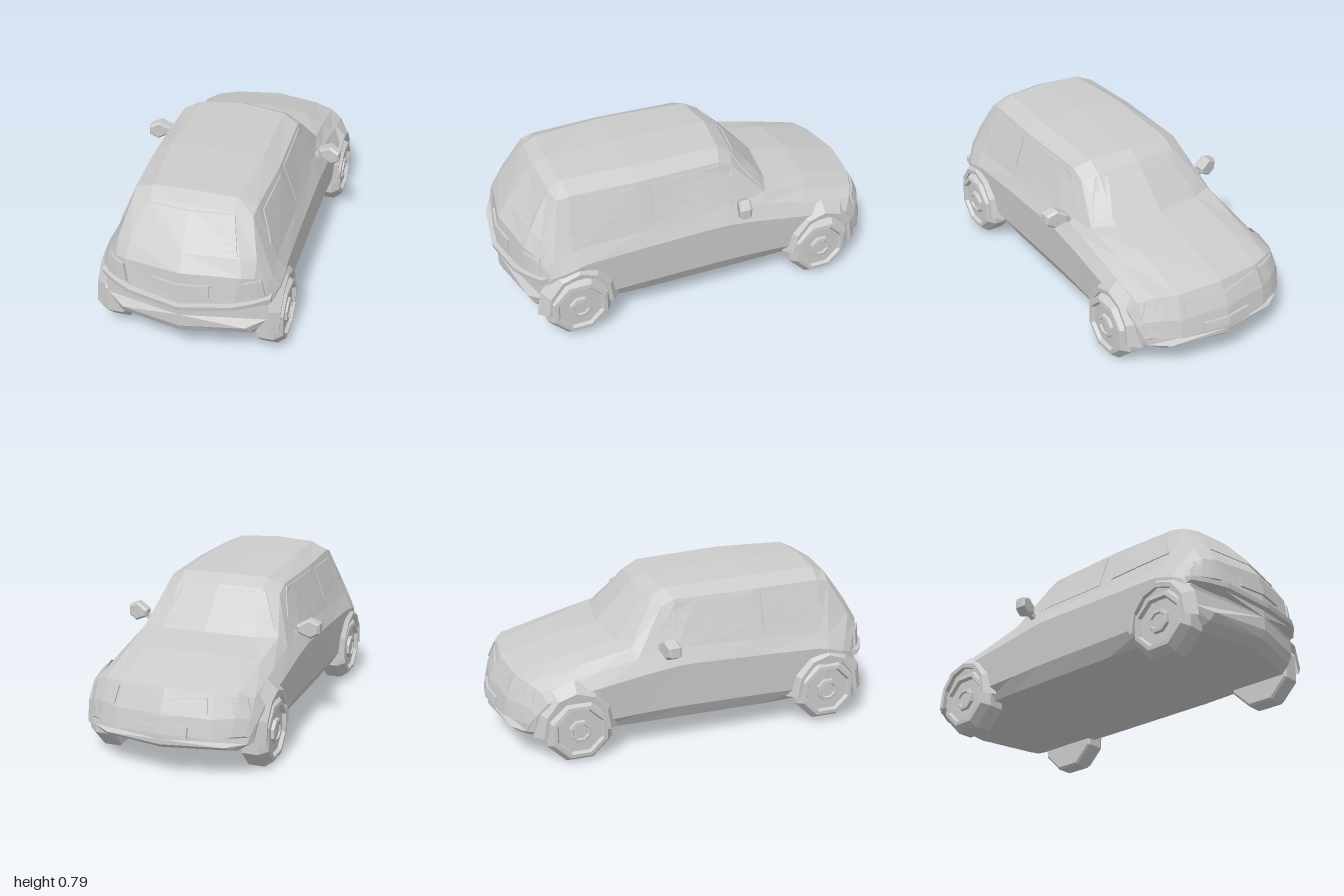
import * as THREE from 'three';

const grey = new THREE.MeshStandardMaterial({ color: 0xcccccc, flatShading: true });
const greyBoth = new THREE.MeshStandardMaterial({ color: 0xcccccc, flatShading: true, side: THREE.DoubleSide });

function named(name, geometry, material = greyBoth) {
  const mesh = new THREE.Mesh(geometry, material);
  mesh.name = name;
  return mesh;
}

function indexed(positions, index) {
  const g = new THREE.BufferGeometry();
  g.setAttribute('position', new THREE.Float32BufferAttribute(positions, 3));
  g.setIndex(index);
  g.computeVertexNormals();
  return g;
}

// How far a point is swept back towards the middle of the car at the corners
const sweepAt = x => Math.pow(Math.abs(x) / 0.42, 2.5);

// Cross-sections along z: z, corner sweep, roof y, roof x, pillar x, pillar y, belt x, belt y, widest x, floor y
const STATIONS = [
  [0.972, 0.14, 0.335, 0.24, 0.33, 0.345, 0.39, 0.35, 0.405, 0.205],
  [0.955, 0.14, 0.50, 0.28, 0.335, 0.48, 0.39, 0.42, 0.42, 0.165],
  [0.90, 0.12, 0.575, 0.265, 0.335, 0.55, 0.40, 0.45, 0.435, 0.13],
  [0.76, 0.07, 0.75, 0.20, 0.29, 0.72, 0.40, 0.48, 0.44, 0.13],
  [0.69, 0.05, 0.785, 0.205, 0.295, 0.735, 0.395, 0.49, 0.435, 0.13],
  [0.33, 0, 0.79, 0.23, 0.31, 0.735, 0.395, 0.50, 0.43, 0.13],
  [-0.15, 0.12, 0.775, 0.22, 0.30, 0.73, 0.39, 0.51, 0.43, 0.13],
  [-0.22, 0.12, 0.735, 0.22, 0.30, 0.695, 0.39, 0.51, 0.43, 0.13],
  [-0.41, 0.12, 0.54, 0.24, 0.35, 0.525, 0.39, 0.48, 0.43, 0.13],
  [-0.62, 0.10, 0.505, 0.24, 0.34, 0.475, 0.395, 0.435, 0.435, 0.13],
  [-0.91, 0.13, 0.42, 0.23, 0.33, 0.405, 0.395, 0.38, 0.43, 0.13],
  [-0.965, 0.14, 0.31, 0.24, 0.33, 0.305, 0.39, 0.295, 0.415, 0.15],
  [-0.985, 0.14, 0.22, 0.24, 0.32, 0.22, 0.375, 0.22, 0.395, 0.17],
];

function bodyGeometry() {
  const positions = [], index = [], N = 14;
  for (const [z, sweep, yA, xB, xC, yC, xD, yD, xE, yG] of STATIONS) {
    const h = yD - yG, tuck = 0.05 + 0.055 * THREE.MathUtils.smoothstep(Math.abs(z), 0.5, 0.95);
    const half = [[0, yA], [xB, yA - 0.01], [xC, yC], [xD, yD], [xE, yG + h * 0.8],
      [xE - 0.01, yG + h * 0.2], [xE - tuck, yG], [0, yG]];
    const ring = [...half, ...half.slice(1, 7).reverse().map(([x, y]) => [-x, y])];
    const toward = z > 0.3 ? -1 : 1;
    for (const [x, y] of ring) positions.push(x, y, z + toward * sweep * sweepAt(x));
  }
  const last = STATIONS.length - 1;
  for (let s = 0; s < last; s++) {
    for (let i = 0; i < N; i++) {
      const j = (i + 1) % N, a = s * N + i, b = s * N + j;
      index.push(a, b, a + N, b, b + N, a + N);
    }
  }
  // Close both ends with a fan around a centre point
  for (const s of [0, last]) {
    const centre = positions.length / 3;
    positions.push(0, (STATIONS[s][2] + STATIONS[s][9]) / 2, STATIONS[s][0]);
    for (let i = 0; i < N; i++) {
      const a = s * N + i, b = s * N + (i + 1) % N;
      index.push(centre, ...(s ? [a, b] : [b, a]));
    }
  }
  return indexed(positions, index);
}

// Raised panel laid on the body: four corners cast along an axis.
// Side panels use (z, y) corners; end panels use (x, y) corners.
function panel(name, body, view, corners, lift = 0.005, n = 4) {
  const out = { side: [1, 0, 0], rear: [0, 0, 1], nose: [0, 0, -1] }[view];
  const dir = new THREE.Vector3(...out), caster = new THREE.Raycaster();
  const [p, q, r, s] = corners, positions = [], index = [], size = n + 3;
  for (let i = 0; i < size; i++) {
    for (let j = 0; j < size; j++) {
      const u = THREE.MathUtils.clamp((i - 1) / n, 0, 1), v = THREE.MathUtils.clamp((j - 1) / n, 0, 1);
      const at = k => (p[k] * (1 - u) + q[k] * u) * (1 - v) + (s[k] * (1 - u) + r[k] * u) * v;
      const start = view === 'side' ? new THREE.Vector3(2, at(1), at(0)) : new THREE.Vector3(at(0), at(1), 2 * out[2]);
      caster.set(start, dir.clone().negate());
      const edge = i === 0 || j === 0 || i === size - 1 || j === size - 1;
      const point = caster.intersectObject(body)[0].point.clone().addScaledVector(dir, edge ? -0.002 : lift);
      positions.push(point.x, point.y, point.z);
      if (i && j) {
        const a = (i - 1) * size + j - 1;
        index.push(a, a + size, a + 1, a + 1, a + size, a + size + 1);
      }
    }
  }
  return named(name, indexed(positions, index));
}

// V-shaped bumper ledge: a wedge section swept round the tail
function ledgeGeometry() {
  const positions = [], index = [], xs = [-0.41, -0.34, -0.25, 0, 0.25, 0.34, 0.41];
  xs.forEach((x, i) => {
    const y = 0.335 + 0.085 * Math.abs(x), z = 0.972 - 0.14 * sweepAt(x);
    for (const [dy, dz] of [[0.008, -0.05], [0, 0.025], [-0.022, 0.022], [-0.045, -0.05]]) positions.push(x, y + dy, z + dz);
    if (i) {
      for (let k = 0; k < 4; k++) {
        const a = i * 4 + k, b = i * 4 + (k + 1) % 4;
        index.push(a - 4, b - 4, a, b - 4, b, a);
      }
    }
  });
  const e = (xs.length - 1) * 4;
  index.push(0, 2, 1, 0, 3, 2, e, e + 1, e + 2, e, e + 2, e + 3);
  return indexed(positions, index);
}

// Revolve a (radius, x) profile around the axle
function turned(profile, segments, start, sweep) {
  const points = profile.map(([r, x]) => new THREE.Vector2(r, x));
  return new THREE.LatheGeometry(points, segments, start, sweep).rotateZ(-Math.PI / 2);
}

function wheel() {
  const group = new THREE.Group();
  const tyre = [[0, -0.07], [0.165, -0.07], [0.176, -0.06], [0.176, 0.02], [0.145, 0.06], [0.125, 0.062], [0.115, 0.045], [0, 0.045]];
  const hub = [[0.063, 0.04], [0.058, 0.06], [0.043, 0.062], [0.038, 0.054], [0, 0.054]];
  group.add(named('tyre', turned(tyre, 8, Math.PI / 8, Math.PI * 2)));
  group.add(named('hub', turned(hub, 8, Math.PI / 8, Math.PI * 2)));
  return group;
}

// Mirror housing, slanted so its outer end trails
function mirrorGeometry() {
  const shape = new THREE.Shape([[0.40, 0.555], [0.405, 0.52], [0.47, 0.49], [0.513, 0.515], [0.513, 0.565], [0.46, 0.59]]
    .map(([x, y]) => new THREE.Vector2(x, y)));
  const slant = new THREE.Matrix4().set(1, 0, 0, 0, 0, 1, 0, 0, 0.25, 0, 1, -0.305, 0, 0, 0, 1);
  return new THREE.ExtrudeGeometry(shape, { depth: 0.04, bevelThickness: 0.012, bevelSize: 0.01, bevelOffset: -0.01, bevelSegments: 1 })
    .applyMatrix4(slant);
}

export function createModel() {
  const car = new THREE.Group();
  car.name = 'hatchbackCar';
  const body = named('body', bodyGeometry(), grey);
  body.updateMatrixWorld();
  car.add(body);

  // Parts spanning the centre line
  car.add(panel('rearWindow', body, 'rear', [[-0.25, 0.575], [0.25, 0.575], [0.21, 0.73], [-0.21, 0.73]], 0.006, 6));
  car.add(panel('rearPlate', body, 'rear', [[-0.14, 0.39], [0.14, 0.39], [0.14, 0.445], [-0.14, 0.445]], 0.012));
  car.add(panel('windscreen', body, 'nose', [[-0.33, 0.548], [0.33, 0.548], [0.24, 0.71], [-0.24, 0.71]], 0.006, 8));
  car.add(panel('frontPlate', body, 'nose', [[-0.13, 0.21], [0.13, 0.21], [0.13, 0.26], [-0.13, 0.26]], 0.012));
  car.add(named('rearBumperLedge', ledgeGeometry()));

  for (const side of [1, -1]) {
    const half = new THREE.Group();
    half.name = side > 0 ? 'leftSide' : 'rightSide';
    half.scale.x = side;
    // Windows
    half.add(panel('doorWindow', body, 'side', [[0.275, 0.535], [-0.22, 0.54], [-0.09, 0.715], [0.275, 0.715]]));
    half.add(panel('quarterWindow', body, 'side', [[0.70, 0.565], [0.35, 0.545], [0.35, 0.71], [0.635, 0.70]]));
    // Lamps and grille
    half.add(panel('tailLamp', body, 'rear', [[0.265, 0.378], [0.385, 0.375], [0.365, 0.465], [0.285, 0.465]], 0.012));
    half.add(panel('headLamp', body, 'nose', [[0.25, 0.315], [0.39, 0.325], [0.37, 0.385], [0.235, 0.395]], 0.01));
    half.add(panel('grille', body, 'nose', [[0, 0.30], [0.215, 0.325], [0.205, 0.39], [0, 0.37]], 0.006));
    // Door mirror and its stalk
    half.add(named('doorMirror', mirrorGeometry()));
    const stalk = named('mirrorStalk', new THREE.BoxGeometry(0.06, 0.025, 0.025), grey);
    stalk.position.set(0.395, 0.515, -0.18);
    stalk.rotation.z = 0.5;
    half.add(stalk);
    // Flared wheel arches, narrower along the car than they are tall
    for (const [name, z, y] of [['rearArch', 0.685, 0.185], ['frontArch', -0.635, 0.175]]) {
      const flare = [[0.165, 0.38], [0.172, 0.45], [0.195, 0.452], [0.245, 0.40]];
      const arch = named(name, turned(flare, 6, Math.PI * 0.97, Math.PI * 1.06).scale(1, 1, 0.86));
      arch.position.set(0, y, z);
      half.add(arch);
    }
    car.add(half);
    // Wheels
    for (const [name, z, y] of [['rearWheel', 0.69, 0.183], ['frontWheel', -0.62, 0.163]]) {
      const w = wheel();
      w.name = name;
      w.position.set(side * 0.395 + 0.008, y, z);
      if (side < 0) w.rotation.y = Math.PI;
      car.add(w);
    }
  }
  return car;
}
